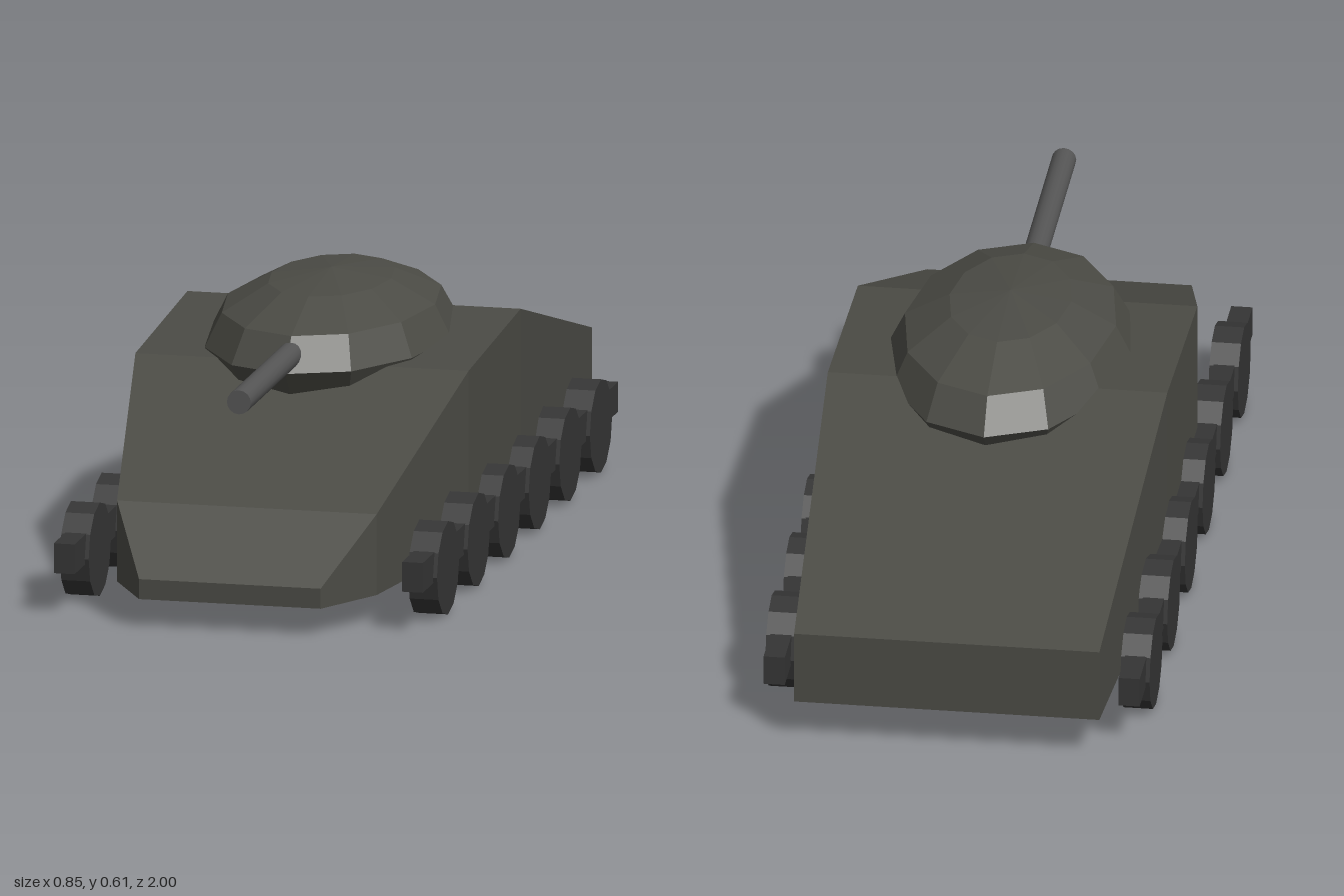
import * as THREE from 'three';

const paint = (color) => new THREE.MeshStandardMaterial({ color, flatShading: true });

// Hull with upright walls, lofted through stations [z, halfWidth, bottom, top]
function hullGeometry(stations) {
  const pos = [];
  const index = [];
  for (const [z, w, b, t] of stations) pos.push(-w, b, z, w, b, z, w, t, z, -w, t, z);
  const quad = (a, b, c, d) => index.push(a, b, c, a, c, d);
  for (let i = 0; i < stations.length - 1; i++) {
    for (let k = 0; k < 4; k++) {
      const a = i * 4 + k, b = i * 4 + (k + 1) % 4;
      quad(a, a + 4, b + 4, b);
    }
  }
  const e = (stations.length - 1) * 4;
  quad(0, 1, 2, 3);
  quad(e + 3, e + 2, e + 1, e);
  const indexed = new THREE.BufferGeometry();
  indexed.setAttribute('position', new THREE.Float32BufferAttribute(pos, 3));
  indexed.setIndex(index);
  const geometry = indexed.toNonIndexed();
  geometry.computeVertexNormals();
  return geometry;
}

export function createModel() {
  const model = new THREE.Group();
  model.name = 'tank';
  const armour = paint(0x4b4b45);
  const steel = paint(0x555555);
  steel.flatShading = false;
  const running = paint(0x353535);

  const add = (name, geometry, material, x, y, z, parent = model) => {
    const mesh = new THREE.Mesh(geometry, material);
    mesh.name = name;
    mesh.position.set(x, y, z);
    parent.add(mesh);
    return mesh;
  };

  // Sloped hull, nose to tail
  add('hull', hullGeometry([
    [1, 0.205, 0.063, 0.108],
    [0.84, 0.293, 0.063, 0.245],
    [0.32, 0.376, 0.063, 0.457],
    [-0.17, 0.376, 0.063, 0.488],
    [-1, 0.338, 0.094, 0.26],
  ]), armour, 0, 0, 0);

  // Flattened faceted turret and its gun
  const dome = new THREE.SphereGeometry(1, 12, 6).scale(0.27, 0.145, 0.438);
  add('turret', dome, armour, 0, 0.465, 0.042);
  const barrel = new THREE.CylinderGeometry(0.027, 0.027, 0.62, 16).rotateX(Math.PI / 2);
  add('gunBarrel', barrel, steel, 0, 0.498, 0.605);

  // Running gear on each side
  const wheel = new THREE.CylinderGeometry(0.105, 0.105, 0.065, 12).rotateZ(Math.PI / 2);
  const beam = new THREE.BoxGeometry(0.047, 0.067, 1.84);
  for (const side of [1, -1]) {
    const gear = new THREE.Group();
    gear.name = side > 0 ? 'leftRunningGear' : 'rightRunningGear';
    add('trackBeam', beam, running, side * 0.393, 0.126, 0, gear);
    for (let i = 0; i < 6; i++) {
      add('roadWheel', wheel, running, side * 0.393, 0.105, 0.72 - i * 0.288, gear);
    }
    model.add(gear);
  }
  return model;
}
